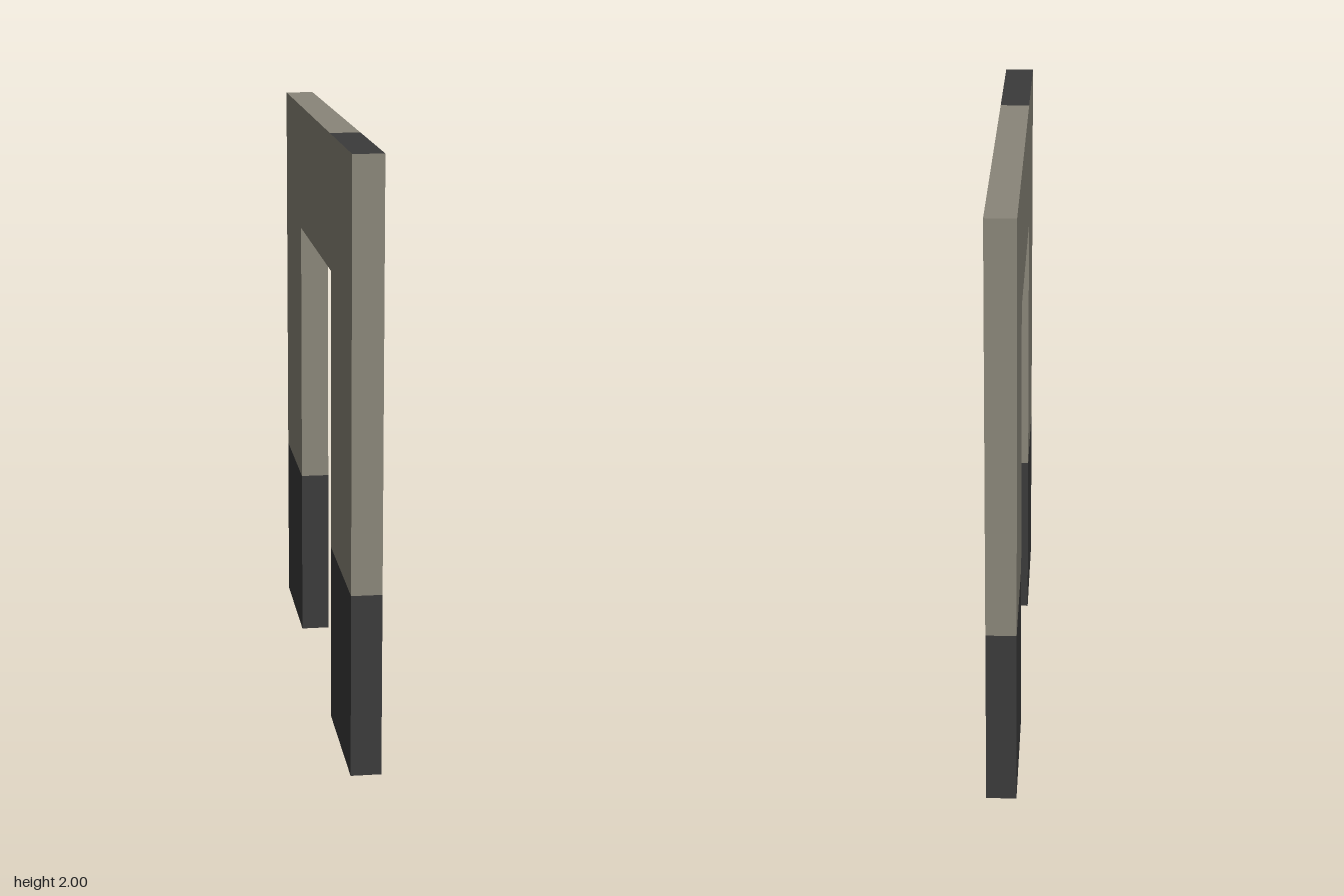
import * as THREE from 'three';
import { mergeGeometries } from 'three/addons/utils/BufferGeometryUtils.js';

const T = 0.05;                 // half thickness
const END = 0.92, TOP = 2;      // outer size
const FRONT = 0.42, BACK = -0.44, HEAD = 1.555; // opening
const SPLIT = 0.61;             // height of the dark base
const CAP = 0.39;               // dark part of level faces starts here

const stone = new THREE.MeshStandardMaterial({ color: 0x8a8679 });
stone.name = 'stone';
const charcoal = new THREE.MeshStandardMaterial({ color: 0x3b3b3b });
charcoal.name = 'charcoal';

// Flat side face from [z, y] points, facing +x (side = 1) or -x (side = -1)
function sideFace(points, side) {
  const shape = new THREE.Shape(points.map(([z, y]) => new THREE.Vector2(-side * z, y)));
  return new THREE.ShapeGeometry(shape).rotateY(side * Math.PI / 2).translate(side * T, 0, 0).toNonIndexed();
}

// Strip across the thickness from a to b, outside on the right of travel
function edgeFace([z0, y0], [z1, y1]) {
  const g = new THREE.BufferGeometry();
  g.setAttribute('position', new THREE.Float32BufferAttribute(
    [-T, y0, z0, T, y0, z0, T, y1, z1, -T, y1, z1], 3));
  g.setAttribute('uv', new THREE.Float32BufferAttribute([0, 0, 1, 0, 1, 1, 0, 1], 2));
  g.setIndex([0, 1, 2, 0, 2, 3]);
  g.computeVertexNormals();
  return g.toNonIndexed();
}

const rect = (z0, z1, y0, y1) => [[z0, y0], [z1, y0], [z1, y1], [z0, y1]];

export function createModel() {
  const group = new THREE.Group();
  const add = (name, geometries, material) => {
    const mesh = new THREE.Mesh(mergeGeometries(geometries), material);
    mesh.name = name;
    group.add(mesh);
  };

  // Broad side faces
  const arch = [[-END, SPLIT], [BACK, SPLIT], [BACK, HEAD], [FRONT, HEAD],
    [FRONT, SPLIT], [END, SPLIT], [END, TOP], [-END, TOP]];
  const both = points => [1, -1].map(s => sideFace(points, s));
  add('archSides', both(arch), stone);
  add('frontBaseSides', both(rect(FRONT, END, 0, SPLIT)), charcoal);
  add('backBaseSides', both(rect(-END, BACK, 0, SPLIT)), charcoal);

  // Edge strips, following the outline round with its colour changes
  const outline = [
    [-END, 0, stone], [BACK, 0, charcoal], [BACK, SPLIT, stone], [BACK, HEAD, stone],
    [CAP, HEAD, charcoal], [FRONT, HEAD, stone], [FRONT, SPLIT, charcoal], [FRONT, 0, charcoal],
    [END, 0, charcoal], [END, SPLIT, stone], [END, TOP, charcoal], [CAP, TOP, stone],
    [-END, TOP, stone], [-END, SPLIT, charcoal],
  ];
  for (const [name, material] of [['archEdges', stone], ['darkEdges', charcoal]]) {
    const strips = [];
    outline.forEach((p, i) => {
      if (p[2] === material) strips.push(edgeFace(p, outline[(i + 1) % outline.length]));
    });
    add(name, strips, material);
  }
  return group;
}
